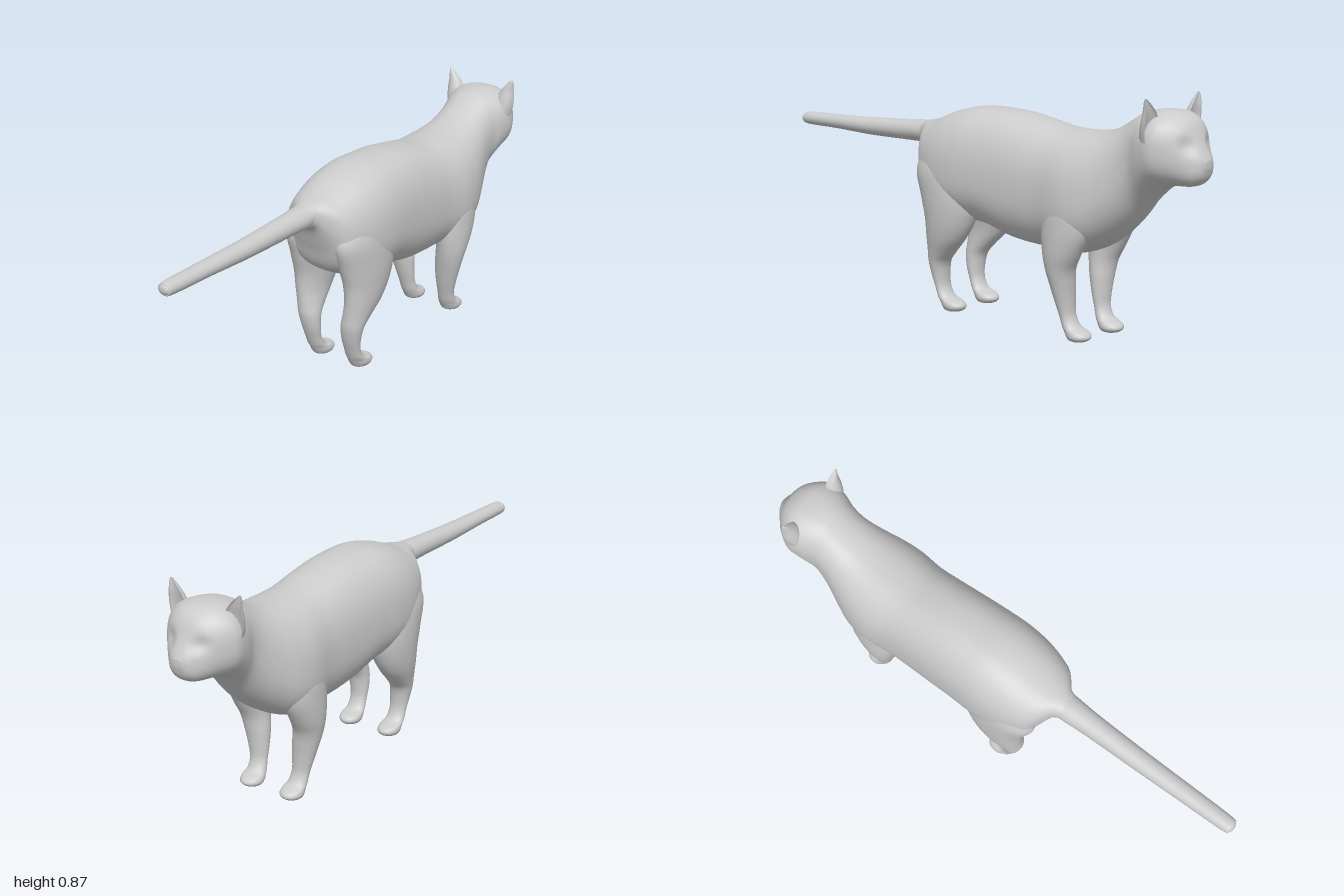
import * as THREE from 'three';

const material = new THREE.MeshStandardMaterial({ color: 0xcccccc, side: THREE.DoubleSide });

// Catmull-Rom blend of whole rows, giving a smooth run of cross-sections
function smoothRows(rows, steps) {
  const out = [];
  const last = rows.length - 1;
  for (let i = 0; i < last; i++) {
    const a = rows[Math.max(i - 1, 0)], b = rows[i], c = rows[i + 1], d = rows[Math.min(i + 2, last)];
    for (let s = 0; s < steps; s++) {
      const t = s / steps;
      out.push(b.map((v, k) => 0.5 * (2 * v + (c[k] - a[k]) * t
        + (2 * a[k] - 5 * v + 4 * c[k] - d[k]) * t * t
        + (3 * v - a[k] - 3 * c[k] + d[k]) * t * t * t)));
    }
  }
  out.push(rows[last]);
  return out;
}

// Closed skin over rings; point(row, cos, sin) returns [x, y, z]
function loft(name, rows, point, sides = 32, steps = 6) {
  const rings = smoothRows(rows, steps);
  const pos = [], idx = [];
  for (const row of rings) {
    for (let j = 0; j < sides; j++) {
      const a = (j / sides) * Math.PI * 2;
      pos.push(...point(row, Math.cos(a), Math.sin(a)));
    }
  }
  for (let i = 0; i < rings.length - 1; i++) {
    for (let j = 0; j < sides; j++) {
      const k = (j + 1) % sides, p = i * sides, q = p + sides;
      idx.push(p + j, p + k, q + j, p + k, q + k, q + j);
    }
  }
  // Poles closing both ends
  [0, rings.length - 1].forEach((r, end) => {
    const c = [0, 0, 0];
    for (let j = 0; j < sides; j++) for (let k = 0; k < 3; k++) c[k] += pos[(r * sides + j) * 3 + k] / sides;
    const pole = pos.length / 3;
    pos.push(...c);
    for (let j = 0; j < sides; j++) {
      const p = r * sides + j, q = r * sides + (j + 1) % sides;
      idx.push(...(end ? [p, q, pole] : [q, p, pole]));
    }
  });
  // Turn the skin outward if its signed volume is negative
  const v = (i) => new THREE.Vector3().fromArray(pos, i * 3);
  let volume = 0;
  for (let i = 0; i < idx.length; i += 3) volume += v(idx[i]).dot(v(idx[i + 1]).cross(v(idx[i + 2])));
  if (volume < 0) idx.reverse();
  const geo = new THREE.BufferGeometry();
  geo.setAttribute('position', new THREE.Float32BufferAttribute(pos, 3));
  geo.setIndex(idx);
  geo.computeVertexNormals();
  const mesh = new THREE.Mesh(geo, material);
  mesh.name = name;
  return mesh;
}

const bend = (v, p) => Math.sign(v) * Math.abs(v) ** p;

// Torso, neck and head: x, top, bottom, half width, height of widest point
const BODY = [
  [-0.30, 0.675, 0.597, 0.045, 0.635], [-0.265, 0.683, 0.58, 0.06, 0.63],
  [-0.23, 0.69, 0.50, 0.105, 0.59], [-0.19, 0.70, 0.41, 0.143, 0.54],
  [-0.1, 0.735, 0.36, 0.173, 0.52], [0, 0.757, 0.345, 0.183, 0.52],
  [0.1, 0.76, 0.335, 0.18, 0.52], [0.2, 0.755, 0.308, 0.176, 0.51],
  [0.3, 0.74, 0.297, 0.173, 0.5], [0.4, 0.723, 0.297, 0.173, 0.49],
  [0.5, 0.72, 0.295, 0.184, 0.48], [0.58, 0.727, 0.325, 0.175, 0.49],
  [0.65, 0.745, 0.375, 0.15, 0.54], [0.71, 0.778, 0.43, 0.128, 0.6],
  [0.76, 0.808, 0.49, 0.122, 0.66], [0.81, 0.82, 0.54, 0.136, 0.69],
  [0.86, 0.822, 0.57, 0.142, 0.70], [0.90, 0.813, 0.576, 0.122, 0.70],
  [0.94, 0.785, 0.578, 0.09, 0.68], [0.97, 0.725, 0.588, 0.06, 0.65],
  [0.99, 0.688, 0.61, 0.038, 0.645], [1.0, 0.668, 0.642, 0.014, 0.655],
];

function bodyPoint([x, top, bottom, w, mid], c, s) {
  const y = mid + bend(s, 0.85) * (s > 0 ? top - mid : mid - bottom);
  const z = w * bend(c, 0.85);
  // Shallow eye sockets beside the nose
  const socket = x > 0.86 ? Math.exp(-((y - 0.715) ** 2) / 0.0006 - (Math.abs(z) - 0.06) ** 2 / 0.0007) : 0;
  return [x - 0.014 * socket, y, z];
}

// Tail: x, centre height, half height, half width
const TAIL = [
  [-1.0, 0.622, 0.006, 0.008], [-0.993, 0.622, 0.017, 0.021], [-0.97, 0.622, 0.025, 0.03],
  [-0.8, 0.624, 0.028, 0.034], [-0.6, 0.625, 0.034, 0.038], [-0.4, 0.632, 0.039, 0.043],
  [-0.29, 0.637, 0.042, 0.05], [-0.2, 0.64, 0.04, 0.05],
];

// Legs: height, back x, front x, inner z, outer z
const FORELEG = [
  [0.55, 0.44, 0.58, 0.05, 0.15], [0.47, 0.41, 0.605, 0.045, 0.179], [0.39, 0.403, 0.6, 0.05, 0.184],
  [0.31, 0.412, 0.56, 0.062, 0.181], [0.25, 0.423, 0.528, 0.06, 0.171], [0.19, 0.437, 0.518, 0.055, 0.155],
  [0.13, 0.452, 0.514, 0.056, 0.138], [0.085, 0.465, 0.516, 0.058, 0.127], [0.05, 0.475, 0.535, 0.053, 0.126],
  [0.033, 0.482, 0.572, 0.047, 0.129], [0.018, 0.49, 0.582, 0.045, 0.13], [0.006, 0.497, 0.572, 0.052, 0.123],
  [0, 0.507, 0.555, 0.065, 0.11],
];
const HINDLEG = [
  [0.6, -0.19, -0.02, 0.05, 0.15], [0.52, -0.225, 0.05, 0.035, 0.175], [0.43, -0.2, 0.075, 0.035, 0.181],
  [0.35, -0.176, 0.05, 0.045, 0.178], [0.28, -0.17, 0.005, 0.055, 0.168], [0.22, -0.17, -0.055, 0.055, 0.152],
  [0.18, -0.17, -0.09, 0.053, 0.142], [0.13, -0.16, -0.1, 0.053, 0.131], [0.085, -0.145, -0.097, 0.056, 0.124],
  [0.05, -0.132, -0.075, 0.053, 0.125], [0.035, -0.125, -0.03, 0.048, 0.128], [0.02, -0.117, -0.018, 0.046, 0.129],
  [0.006, -0.108, -0.028, 0.053, 0.122], [0, -0.098, -0.045, 0.065, 0.11],
];

// Ears: height, centre x, centre z, depth, half width
const EAR = [
  [0.70, 0.85, 0.105, 0.045, 0.03], [0.75, 0.852, 0.111, 0.042, 0.036], [0.79, 0.855, 0.115, 0.036, 0.035],
  [0.82, 0.857, 0.121, 0.028, 0.027], [0.845, 0.855, 0.131, 0.018, 0.016], [0.86, 0.852, 0.138, 0.009, 0.008],
  [0.867, 0.85, 0.14, 0.003, 0.003],
];

export function createModel() {
  const model = new THREE.Group();
  model.name = 'cat';
  model.add(loft('body', BODY, bodyPoint, 48));
  model.add(loft('tail', TAIL, ([x, y, ry, rz], c, s) => [x, y + ry * s, rz * c], 24));

  for (const [label, side] of [['left', -1], ['right', 1]]) {
    const legPoint = ([y, x0, x1, z0, z1], c, s) =>
      [(x0 + x1) / 2 + (x1 - x0) / 2 * c, y, side * ((z0 + z1) / 2 + (z1 - z0) / 2 * s)];
    model.add(loft(label + 'Foreleg', FORELEG, legPoint));
    model.add(loft(label + 'Hindleg', HINDLEG, legPoint));
    // Crescent section leaves the front of the ear hollow
    model.add(loft(label + 'Ear', EAR, ([y, x, z, d, w], c, s) =>
      [x + d * (c > 0 ? -0.4 * c : c), y, side * (z + w * s)], 24, 4));
  }
  return model;
}
